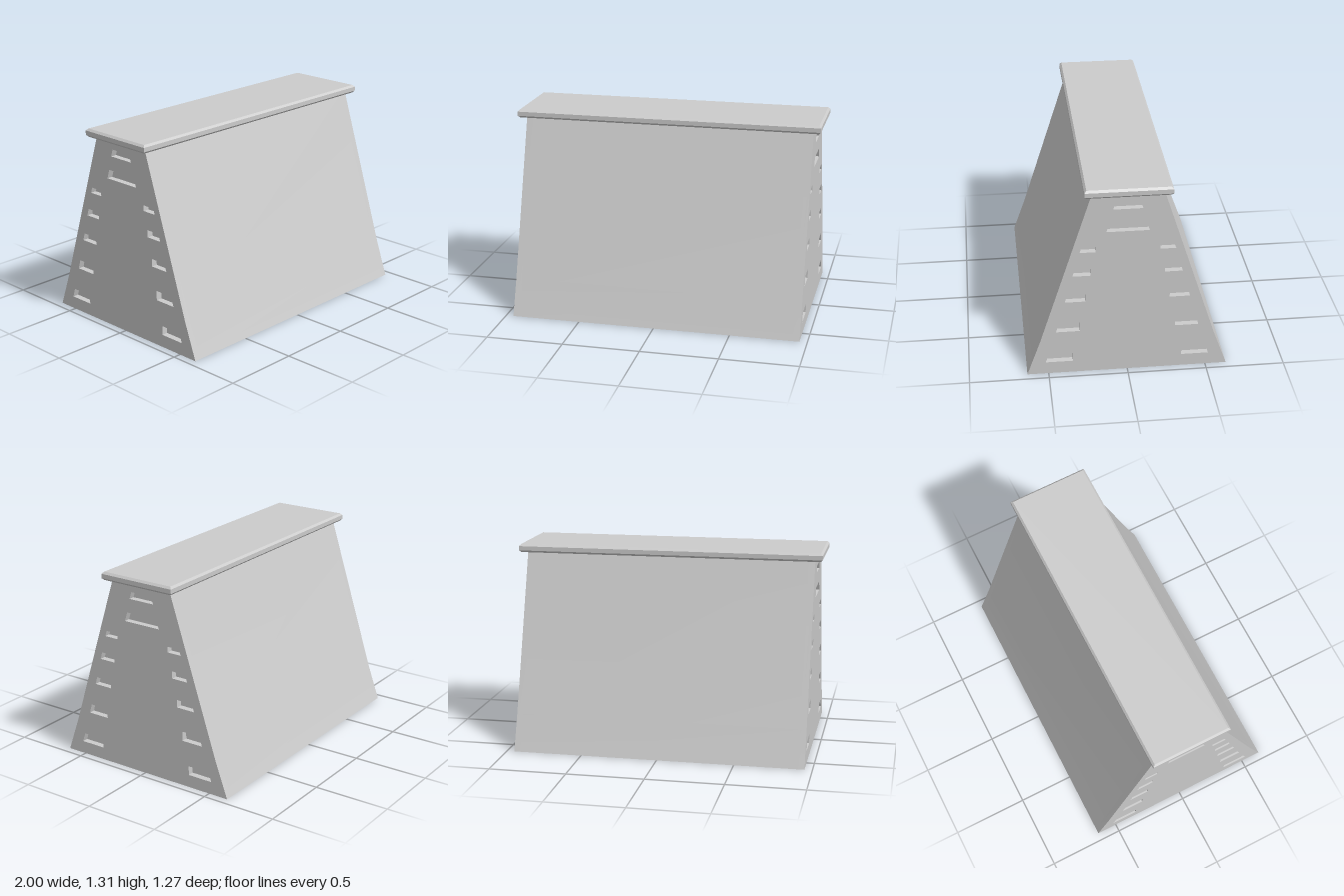
import * as THREE from 'three';
import { toCreasedNormals } from 'three/addons/utils/BufferGeometryUtils.js';

const HALF_LENGTH = 0.95;
const RECESS = 0.04;

// Grip slots: [bottom y, top y, half width at bottom, half width at top]
const CENTRE_SLOTS = [
  [1.155, 1.202, 0.091, 0.075],
  [1.003, 1.063, 0.132, 0.112],
];

// Paired slots: [bottom y, top y, inner z, outer z at bottom, outer z at top]
const SIDE_SLOTS = [
  [0.868, 0.905, 0.197, 0.295, 0.283],
  [0.704, 0.751, 0.228, 0.340, 0.326],
  [0.520, 0.570, 0.262, 0.390, 0.375],
  [0.305, 0.367, 0.299, 0.448, 0.430],
  [0.083, 0.143, 0.345, 0.517, 0.497],
];

const polygon = (points) => points.map(([x, y]) => new THREE.Vector2(x, y));

// Tapered end profile, flaring slightly near the floor
function profile() {
  const side = [[0.635, 0], [0.55, 0.235], [0.22, 1.257]];
  const mirrored = side.map(([z, y]) => [-z, y]).reverse();
  return new THREE.Shape(polygon([...side, ...mirrored]));
}

// Extrudes a profile along x, centred on the given x
function slab(shape, length, x) {
  const extruded = new THREE.ExtrudeGeometry(shape, { depth: length, bevelEnabled: false });
  extruded.translate(0, 0, -length / 2).rotateY(Math.PI / 2).translate(x, 0, 0);
  return toCreasedNormals(extruded, 0.2);
}

export function createModel() {
  const group = new THREE.Group();
  const material = new THREE.MeshStandardMaterial({ color: 0xcccccc });
  const add = (name, geometry) => {
    const mesh = new THREE.Mesh(geometry, material);
    mesh.name = name;
    group.add(mesh);
    return mesh;
  };

  // Solid body between the two end panels
  add('body', slab(profile(), 2 * (HALF_LENGTH - RECESS), 0));

  // End panels with the slots cut through, so the body closes each recess
  const panel = profile();
  const cut = (points) => panel.holes.push(new THREE.Path(polygon(points)));
  for (const [y0, y1, w0, w1] of CENTRE_SLOTS) {
    cut([[-w0, y0], [-w1, y1], [w1, y1], [w0, y0]]);
  }
  for (const [y0, y1, inner, outer0, outer1] of SIDE_SLOTS) {
    for (const s of [-1, 1]) {
      cut([[s * inner, y0], [s * inner, y1], [s * outer1, y1], [s * outer0, y0]]);
    }
  }
  for (const [name, s] of [['leftEndPanel', 1], ['rightEndPanel', -1]]) {
    add(name, slab(panel, RECESS, s * (HALF_LENGTH - RECESS / 2)));
  }

  // Overhanging top board with chamfered edges
  const chamfer = 0.013;
  const x = 1 - chamfer;
  const z = 0.266 - chamfer;
  const board = new THREE.ExtrudeGeometry(
    new THREE.Shape(polygon([[-x, -z], [x, -z], [x, z], [-x, z]])),
    { depth: 0.028, bevelSize: chamfer, bevelThickness: chamfer, bevelSegments: 1 },
  );
  board.rotateX(-Math.PI / 2);
  add('topBoard', board).position.y = 1.256 + chamfer;

  return group;
}
